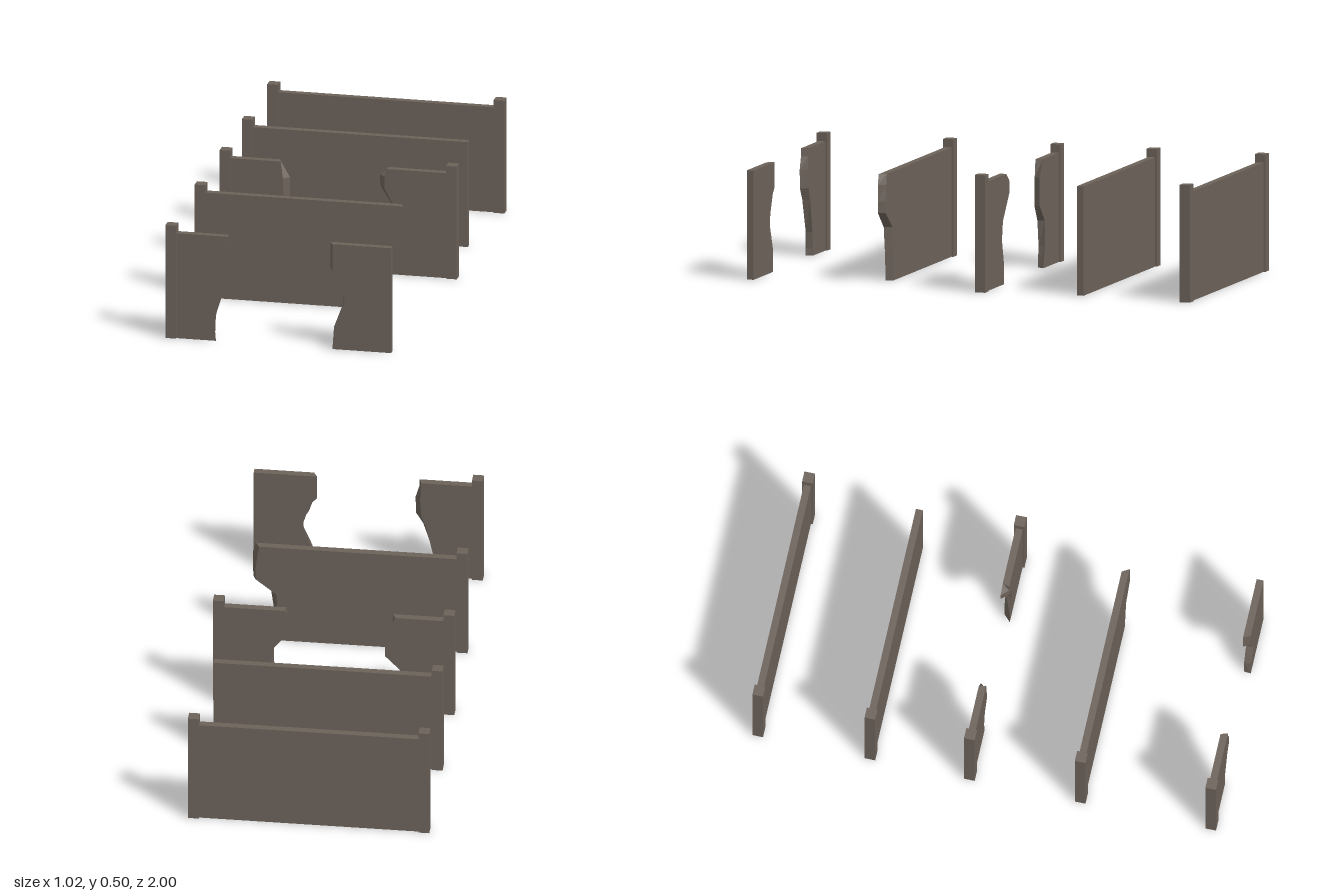
import * as THREE from 'three';

const POST_X = 0.489, POST_W = 0.046, POST_H = 0.5;
const PANEL_X = 0.466, PANEL_H = 0.465, HALF_T = 0.015;

export function createModel() {
  const stone = new THREE.MeshStandardMaterial({ color: 0x6b6159 });
  stone.name = 'weathered stone';
  const model = new THREE.Group();
  model.name = 'wallSet';

  const add = (parent, geometry, name, x, y, z) => {
    const mesh = new THREE.Mesh(geometry, stone);
    mesh.name = name;
    mesh.position.set(x, y, z);
    parent.add(mesh);
  };

  const section = (name, z) => {
    const group = new THREE.Group();
    group.name = name;
    group.position.z = z;
    model.add(group);
    return group;
  };

  // Square post at one end; side is -1 or 1
  const post = (parent, side) =>
    add(parent, new THREE.BoxGeometry(POST_W, POST_H, POST_W), 'post', side * POST_X, POST_H / 2, 0);

  // Whole rectangular panel
  const panel = (parent, x0, x1) =>
    add(parent, new THREE.BoxGeometry(x1 - x0, PANEL_H, HALF_T * 2), 'panel', (x0 + x1) / 2, PANEL_H / 2, 0);

  // Panel with one broken edge; rows run top to bottom as [y, front x, back x]
  const brokenPanel = (parent, endX, rows) => {
    const positions = [];
    const flip = rows[0][1] < endX;
    const quad = (a, b, c, d) => {
      const order = flip ? [a, c, b, a, d, c] : [a, b, c, a, c, d];
      order.forEach((p) => positions.push(...p));
    };
    const loops = rows.map(([y, front, back]) => [
      [endX, y, HALF_T], [front, y, HALF_T], [back, y, -HALF_T], [endX, y, -HALF_T],
    ]);
    for (let i = 0; i < loops.length - 1; i++) {
      const top = loops[i], low = loops[i + 1];
      for (let k = 0; k < 4; k++) {
        const n = (k + 1) % 4;
        quad(low[k], low[n], top[n], top[k]);
      }
    }
    quad(...loops[0]);
    quad(...loops[loops.length - 1].slice().reverse());
    const geometry = new THREE.BufferGeometry();
    geometry.setAttribute('position', new THREE.Float32BufferAttribute(positions, 3));
    geometry.computeVertexNormals();
    add(parent, geometry, 'brokenPanel', 0, 0, 0);
  };

  // Complete wall with two posts
  const full = section('fullWall', -0.977);
  post(full, -1);
  post(full, 1);
  panel(full, -PANEL_X, PANEL_X);

  // Wall with a single post
  const single = section('singlePostWall', -0.493);
  post(single, -1);
  panel(single, -PANEL_X, 0.461);

  // Wall broken through the middle, posts at both ends
  const split = section('splitWall', -0.064);
  post(split, -1);
  post(split, 1);
  brokenPanel(split, -PANEL_X, [
    [PANEL_H, -0.25, -0.26], [0.39, -0.24, -0.217], [0.27, -0.235, -0.217],
    [0.2, -0.275, -0.285], [0.09, -0.29, -0.285], [0, -0.28, -0.265],
  ]);
  brokenPanel(split, PANEL_X, [
    [PANEL_H, 0.205, 0.213], [0.43, 0.2, 0.172], [0.38, 0.197, 0.174],
    [0.27, 0.258, 0.258], [0.19, 0.257, 0.27], [0.09, 0.215, 0.245], [0, 0.215, 0.245],
  ]);

  // Wall with a broken far end
  const ragged = section('brokenEndWall', 0.414);
  post(ragged, -1);
  brokenPanel(ragged, -PANEL_X, [
    [PANEL_H, 0.39, 0.372], [0.42, 0.402, 0.38], [0.35, 0.402, 0.388],
    [0.3, 0.4, 0.388], [0.23, 0.325, 0.3], [0.12, 0.31, 0.292], [0, 0.3, 0.283],
  ]);

  // Wall broken through the middle, with one post
  const gap = section('splitSinglePostWall', 0.977);
  post(gap, -1);
  brokenPanel(gap, -PANEL_X, [
    [PANEL_H, -0.24, -0.25], [0.43, -0.238, -0.247], [0.375, -0.222, -0.245],
    [0.295, -0.225, -0.25], [0.245, -0.255, -0.27], [0.1, -0.3, -0.302],
    [0.03, -0.3, -0.305], [0, -0.295, -0.305],
  ]);
  brokenPanel(gap, 0.461, [
    [PANEL_H, 0.208, 0.192], [0.355, 0.208, 0.192], [0.335, 0.215, 0.212],
    [0.27, 0.23, 0.238], [0.23, 0.26, 0.25], [0.2, 0.257, 0.25],
    [0.1, 0.215, 0.212], [0, 0.208, 0.21],
  ]);

  return model;
}
